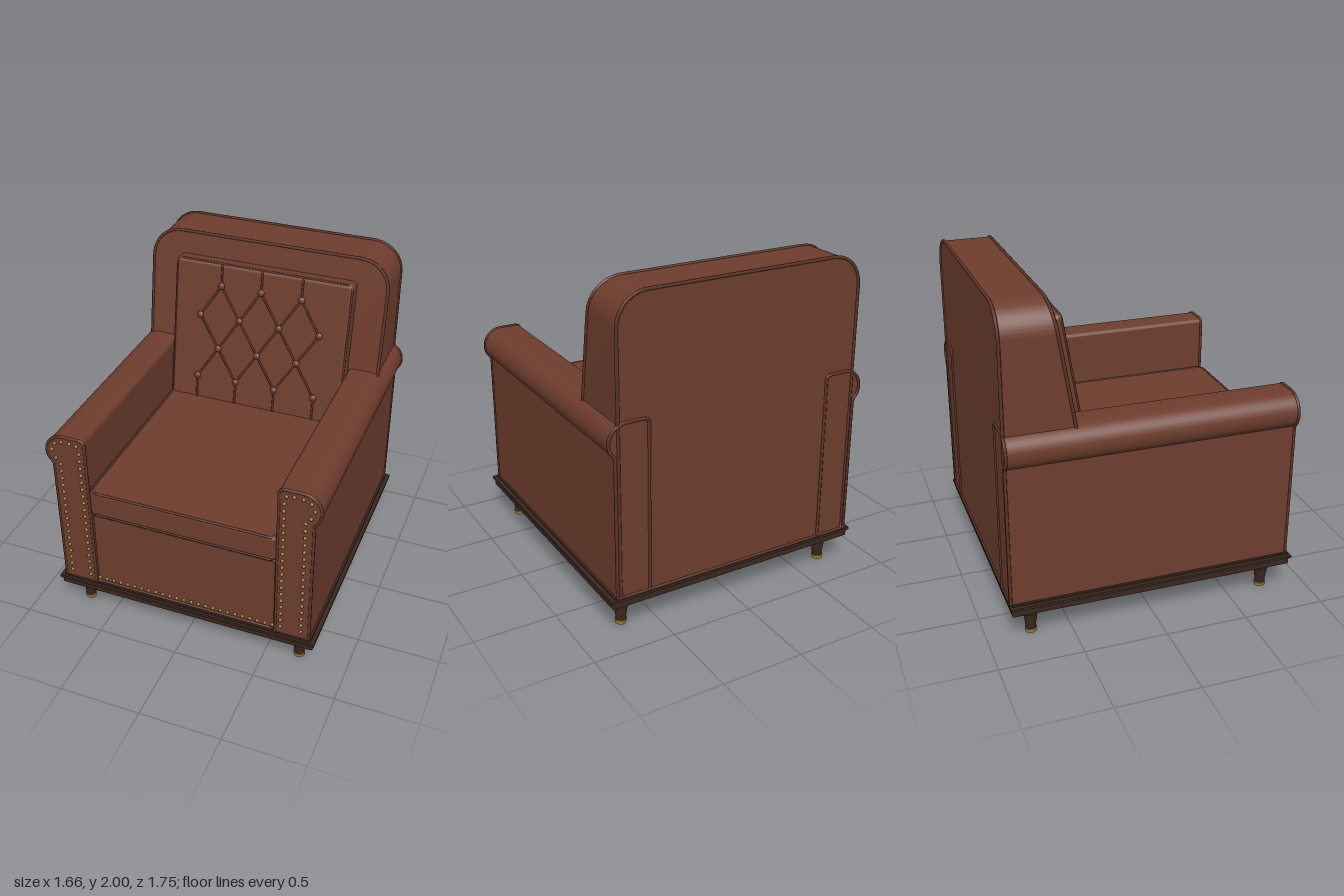
import * as THREE from 'three';
import { mergeGeometries, toCreasedNormals } from 'three/addons/utils/BufferGeometryUtils.js';
import { RoundedBoxGeometry } from 'three/addons/geometries/RoundedBoxGeometry.js';

const mat = (name, color) => {
  const m = new THREE.MeshStandardMaterial({ color });
  m.name = name;
  return m;
};
const V = (x, y, z) => new THREE.Vector3(x, y, z);

export function createModel() {
  const leather = mat('brown leather', 0x6e3d2e);
  const cord = mat('dark leather piping', 0x5e3427);
  const wood = mat('dark wood', 0x3a271f);
  const brass = mat('brass', 0x9a7a38);
  const chair = new THREE.Group();
  chair.name = 'armchair';

  const add = (name, geometry, material, x = 0, y = 0, z = 0, parent = chair) => {
    const mesh = new THREE.Mesh(geometry, material);
    mesh.name = name;
    mesh.position.set(x, y, z);
    parent.add(mesh);
    return mesh;
  };

  // Closed piping following a 2D outline, placed in space by a mapping function
  const piping = (name, shape, place, radius = 0.01, parent = chair) => {
    const points = shape.getSpacedPoints(110).slice(0, -1).map((p) => place(p.x, p.y));
    const curve = new THREE.CatmullRomCurve3(points, true);
    return add(name, new THREE.TubeGeometry(curve, 160, radius, 6, true), cord, 0, 0, 0, parent);
  };

  // Rounded rectangle with separate top and bottom corner radii
  const roundedRect = (x0, y0, x1, y1, rTop, rBottom = rTop) => {
    const s = new THREE.Shape();
    s.moveTo(x0 + rBottom, y0).lineTo(x1 - rBottom, y0);
    if (rBottom) s.absarc(x1 - rBottom, y0 + rBottom, rBottom, -Math.PI / 2, 0);
    s.lineTo(x1, y1 - rTop);
    s.absarc(x1 - rTop, y1 - rTop, rTop, 0, Math.PI / 2);
    s.lineTo(x0 + rTop, y1);
    s.absarc(x0 + rTop, y1 - rTop, rTop, Math.PI / 2, Math.PI);
    s.lineTo(x0, y0 + rBottom);
    if (rBottom) s.absarc(x0 + rBottom, y0 + rBottom, rBottom, Math.PI, Math.PI * 1.5);
    return s;
  };

  // Domed nail heads merged into one mesh
  const nails = (name, points, z) => {
    const heads = points.map(([x, y]) =>
      new THREE.SphereGeometry(0.011, 8, 6).translate(x, y, z));
    add(name, mergeGeometries(heads), brass);
  };

  // Stepped wooden plinth
  add('plinthLower', new RoundedBoxGeometry(1.63, 0.045, 1.73, 2, 0.01), wood, 0, 0.2075, 0);
  add('plinthUpper', new THREE.BoxGeometry(1.65, 0.016, 1.75), wood, 0, 0.238, 0);
  add('plinthCap', new THREE.BoxGeometry(1.6, 0.012, 1.72), wood, 0, 0.25, 0);

  // Turned legs with brass ferrules
  const legProfile = [[0.001, 0.02], [0.029, 0.02], [0.033, 0.06], [0.042, 0.125], [0.05, 0.13],
    [0.05, 0.145], [0.043, 0.15], [0.048, 0.19], [0.001, 0.19]].map(([r, y]) => new THREE.Vector2(r, y));
  const legGeo = toCreasedNormals(new THREE.LatheGeometry(legProfile, 20), 0.6);
  const ferruleGeo = new THREE.CylinderGeometry(0.035, 0.033, 0.024, 20);
  for (const x of [-0.7, 0.7]) for (const z of [-0.735, 0.735]) {
    add('leg', legGeo, wood, x, 0, z);
    add('legFerrule', ferruleGeo, brass, x, 0.012, z);
  }

  // Seat base and front rail
  add('seatBase', new THREE.BoxGeometry(1.18, 0.535, 1.5), leather, 0, 0.5175, 0.09);
  const rail = roundedRect(-0.575, 0.258, 0.575, 0.778, 0.012);
  piping('frontRailPiping', rail, (x, y) => V(x, y, 0.84), 0.009);
  nails('frontRailNails', Array.from({ length: 25 }, (_, i) => [-0.56 + i * 1.12 / 24, 0.287]), 0.843);

  // Seat cushion with piping round its top and bottom edges
  add('seatCushion', new RoundedBoxGeometry(1.15, 0.17, 1.4, 4, 0.025), leather, 0, 0.875, 0.163);
  const seatOutline = roundedRect(-0.569, -0.5, 0.569, 0.857, 0.03);
  for (const y of [0.796, 0.954]) piping('seatCushionPiping', seatOutline, (x, z) => V(x, y, z), 0.008);

  // Rolled arm outline, drawn for the +x side
  const armShape = (inset) => {
    const s = new THREE.Shape();
    const r = 0.11 - inset, out = 0.786 - inset;
    s.moveTo(0.58 + inset, 0.25 + inset).lineTo(out, 0.25 + inset);
    const end = -Math.acos(Math.min(1, (out - 0.715) / r));
    s.lineTo(out, 1.19 + r * Math.sin(end));
    s.absarc(0.715, 1.19, r, end, Math.PI / 2);
    s.lineTo(0.605 + inset, 1.19 + r);
    s.absarc(0.605 + inset, 1.165 + r, 0.025, Math.PI / 2, Math.PI);
    s.lineTo(0.58 + inset, 0.25 + inset);
    return s;
  };
  const armGeo = (side) => {
    const g = new THREE.ExtrudeGeometry(armShape(0), { depth: 1.722, bevelEnabled: false, curveSegments: 20 });
    g.translate(0, 0, -0.866);
    if (side < 0) g.rotateY(Math.PI).translate(0, 0, -0.01);
    return toCreasedNormals(g, 0.5);
  };
  const armNails = [];
  for (let i = 0; i < 19; i++) armNails.push([0.613, 0.31 + i * 0.05]);
  for (let i = 0; i < 17; i++) armNails.push([0.738, 0.31 + i * 0.05]);
  armNails.push([0.765, 1.15], [0.786, 1.205], [0.765, 1.25], [0.72, 1.268], [0.668, 1.268], [0.625, 1.262]);
  for (const side of [1, -1]) {
    const label = side > 0 ? 'left' : 'right';
    add(label + 'Arm', armGeo(side), leather);
    for (const z of [0.85, -0.865])
      piping(label + 'ArmPiping', armShape(0.002), (x, y) => V(side * x, y, z));
    nails(label + 'ArmNails', armNails.map(([x, y]) => [side * x, y]), 0.86);
  }

  // Backrest: vertical behind, sloping in front
  const slope = 0.167;
  const frontZ = (y) => -0.455 - (y - 1.28) * slope;
  const backShape = roundedRect(-0.765, 0.25, 0.765, 1.992, 0.18, 0);
  const backGeo = new THREE.ExtrudeGeometry(backShape, { depth: 1, bevelEnabled: false, curveSegments: 20 });
  const pos = backGeo.attributes.position;
  for (let i = 0; i < pos.count; i++)
    pos.setZ(i, pos.getZ(i) > 0.5 ? frontZ(pos.getY(i)) : -0.864);
  backGeo.computeVertexNormals();
  add('backrest', toCreasedNormals(backGeo, 0.5), leather);
  piping('backrestFrontPiping', backShape, (x, y) => V(x, y, frontZ(y) - 0.004));
  piping('backrestRearPiping', backShape, (x, y) => V(x, y, -0.864));

  // Tilted back cushion
  const tilt = Math.atan(slope);
  const cushion = new THREE.Group();
  cushion.name = 'backCushion';
  cushion.position.set(0, 0.96, -0.315);
  cushion.rotation.x = -tilt;
  chair.add(cushion);
  add('backCushionPad', new RoundedBoxGeometry(1.15, 1.0, 0.14, 4, 0.03), leather, 0, 0.418, -0.07, cushion);
  piping('backCushionPiping', roundedRect(-0.566, -0.04, 0.566, 0.909, 0.03),
    (x, y) => V(x, y, -0.012), 0.008, cushion);

  // Diamond tufting: buttons joined by raised seams
  const local = (y) => (y - 0.96) / Math.cos(tilt);
  const odd = [-0.262, 0, 0.262], even = [-0.393, -0.131, 0.131, 0.393];
  const rows = [[1.72, odd], [1.515, even], [1.31, odd], [1.105, even]];
  const seams = [], buttons = [];
  const seam = (x0, y0, x1, y1) => seams.push(new THREE.TubeGeometry(
    new THREE.LineCurve3(V(x0, local(y0), 0), V(x1, local(y1), 0)), 1, 0.007, 6));
  rows.forEach(([y, xs], i) => {
    for (const x of xs) {
      buttons.push(new THREE.SphereGeometry(0.022, 14, 10).scale(1, 1, 0.6).translate(x, local(y), 0.004));
      if (i === 0) seam(x, 1.85, x, y);
      if (i === 3) seam(x, y, x, 0.95);
      else for (const x2 of rows[i + 1][1])
        if (Math.abs(x2 - x) < 0.14) seam(x, y, x2, rows[i + 1][0]);
    }
  });
  add('tuftingSeams', mergeGeometries(seams), cord, 0, 0, 0, cushion);
  add('tuftingButtons', mergeGeometries(buttons), leather, 0, 0, 0, cushion);

  return chair;
}
